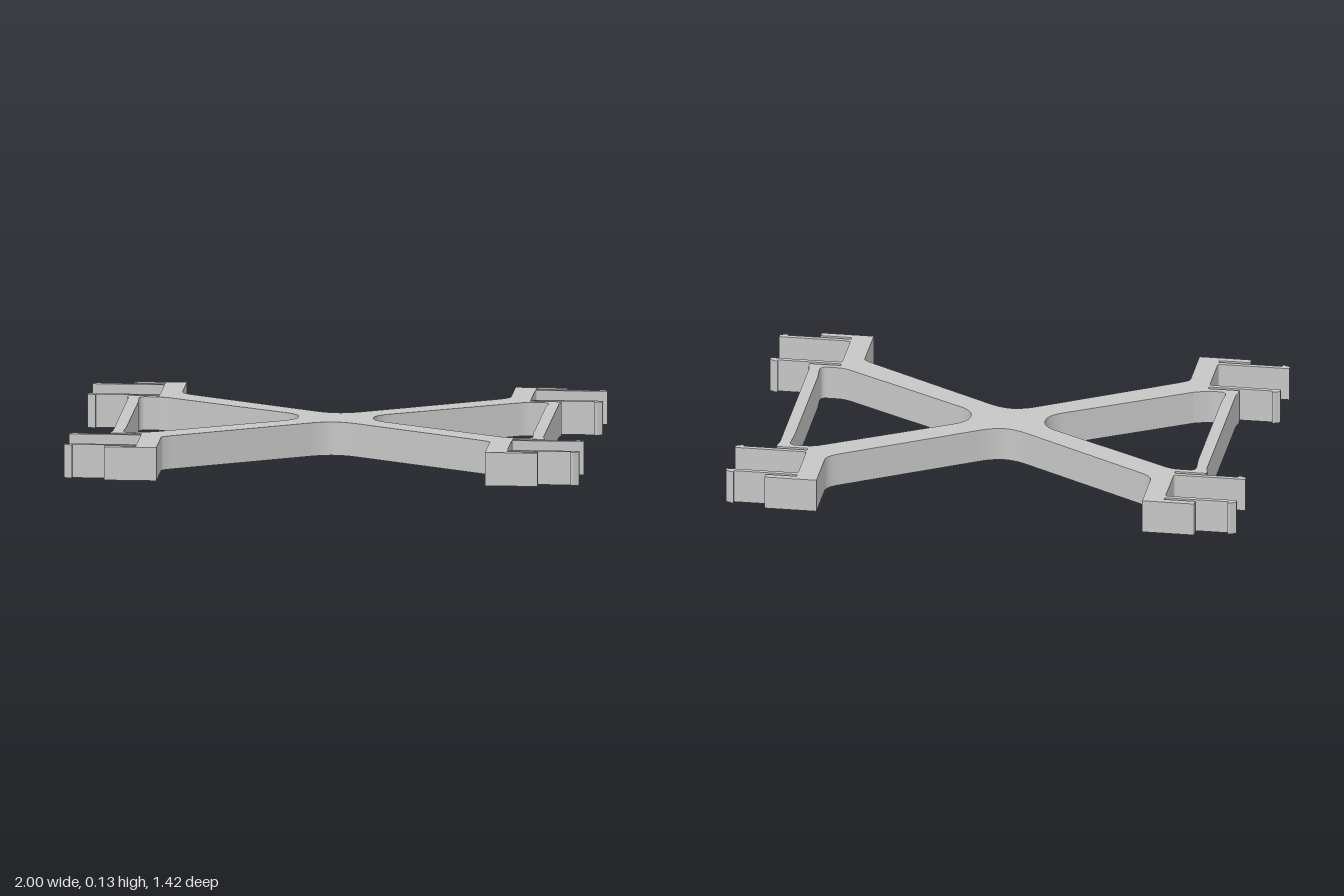
import * as THREE from 'three';

const HEIGHT = 0.131;

// Extrude plan points [x, z] straight up from y = 0
function extrudePlan(points, holes, name, material) {
  const toV = ([x, z]) => new THREE.Vector2(x, -z);
  // Outline runs counter-clockwise and holes clockwise, so all walls face outwards
  const wind = (pts, clockwise) => {
    const v = pts.map(toV);
    return THREE.ShapeUtils.isClockWise(v) === clockwise ? v : v.reverse();
  };
  const shape = new THREE.Shape(wind(points, false));
  shape.holes = holes.map((h) => new THREE.Path(wind(h, true)));
  const geometry = new THREE.ExtrudeGeometry(shape, { depth: HEIGHT, bevelEnabled: false });
  geometry.rotateX(-Math.PI / 2);
  const mesh = new THREE.Mesh(geometry, material);
  mesh.name = name;
  return mesh;
}

// Rounded corner from a to b, pulled towards c
function bend(a, c, b, n = 8) {
  const v = (p) => new THREE.Vector2(p[0], p[1]);
  return new THREE.QuadraticBezierCurve(v(a), v(c), v(b)).getPoints(n).map((p) => [p.x, p.y]);
}

// Outer edge of one quarter, from the side rail round to the middle
function quarter(corner) {
  return [
    [0.836, 0], [0.836, 0.36], [0.842, 0.385], [0.842, 0.408],
    [0.72, 0.408], [0.72, 0.683], [0.842, 0.683], [0.842, 0.71],
    [0.638, 0.71],
    ...bend([0.638, corner], [0.638, 0.472], [0.59, 0.442]),
    ...bend([0.1, 0.136], [0.045, 0.1], [0, 0.1]),
  ];
}

// Triangular window between the arms and a side rail
function windowHole(side, frontFlat) {
  const half = (s, flat) => [
    ...bend([0.148, 0.025], [0.158, 0.058], [0.2, 0.085]),
    ...bend([0.67, 0.365], [flat, 0.384], [flat + 0.03, 0.384], 5),
    ...bend([0.77, 0.384], [0.795, 0.384], [0.795, 0.355], 6),
    [0.79, 0.28],
  ].map(([x, z]) => [x * side, z * s]);
  return [[0.145 * side, 0], ...half(1, frontFlat), ...half(-1, 0.7).reverse()];
}

export function createModel() {
  const model = new THREE.Group();
  model.name = 'crossBracket';
  const gray = new THREE.MeshStandardMaterial({ color: 0xc6c6c6 });
  gray.name = 'gray';

  // X-shaped frame with side rails and corner hooks
  const front = quarter(0.485);
  const back = quarter(0.505);
  const flip = (pts, sx, sz) => pts.map(([x, z]) => [x * sx, z * sz]);
  const outline = [
    ...front,
    ...flip(front, -1, 1).reverse().slice(1),
    ...flip(back, -1, -1).slice(1),
    ...flip(back, 1, -1).reverse().slice(1, -1),
  ];
  const holes = [windowHole(1, 0.7), windowHole(-1, 0.72)];
  model.add(extrudePlan(outline, holes, 'frame', gray));

  // Barbed spring clips, two at every corner
  const innerClip = [
    [0.72, 0.424], [0.968, 0.424], [0.968, 0.413], [0.978, 0.413],
    [1, 0.424], [1, 0.443],
    ...bend([0.73, 0.443], [0.72, 0.443], [0.72, 0.453], 5),
  ];
  const outerClip = [
    ...bend([0.72, 0.638], [0.72, 0.648], [0.73, 0.648], 5),
    [1, 0.648], [1, 0.667],
    [0.978, 0.679], [0.968, 0.679], [0.968, 0.667], [0.72, 0.667],
  ];
  for (const sx of [1, -1]) {
    for (const sz of [1, -1]) {
      const corner = new THREE.Group();
      corner.name = (sz > 0 ? 'front' : 'back') + (sx > 0 ? 'Left' : 'Right') + 'Clips';
      corner.add(
        extrudePlan(flip(innerClip, sx, sz), [], 'innerClip', gray),
        extrudePlan(flip(outerClip, sx, sz), [], 'outerClip', gray),
      );
      model.add(corner);
    }
  }
  return model;
}
